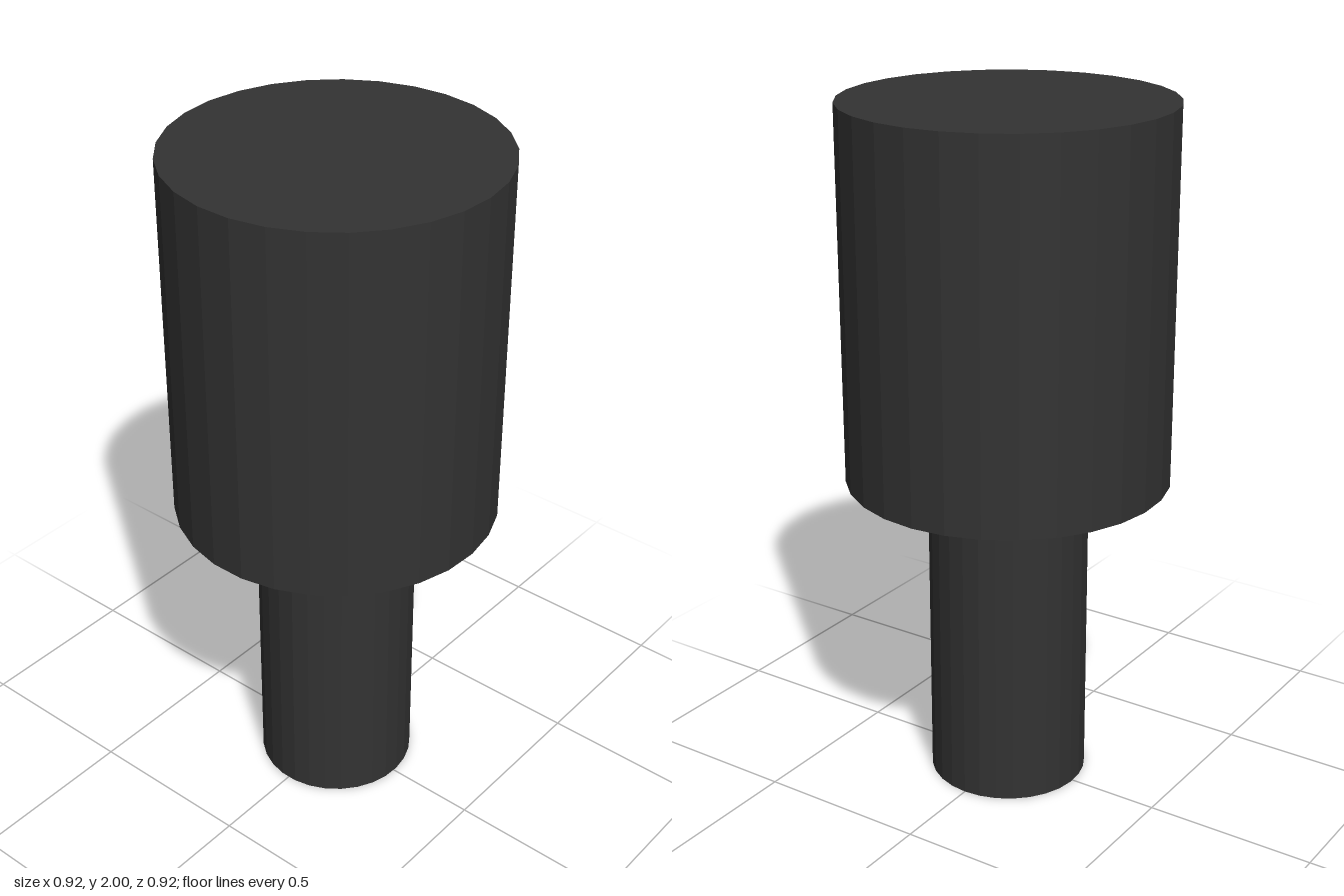
import * as THREE from 'three';

const SIDES = 29;

export function createModel() {
  const group = new THREE.Group();
  const material = new THREE.MeshStandardMaterial({ color: 0x333333, flatShading: true });

  // Upright faceted cylinder with a corner pointing to the back
  const addCylinder = (name, radius, bottom, top) => {
    const geometry = new THREE.CylinderGeometry(radius, radius, top - bottom, SIDES);
    geometry.rotateY(Math.PI);
    const mesh = new THREE.Mesh(geometry, material);
    mesh.name = name;
    mesh.position.y = (bottom + top) / 2;
    group.add(mesh);
  };

  addCylinder('shaft', 0.23, 0, 0.93);
  addCylinder('head', 0.463, 0.93, 2);

  return group;
}
